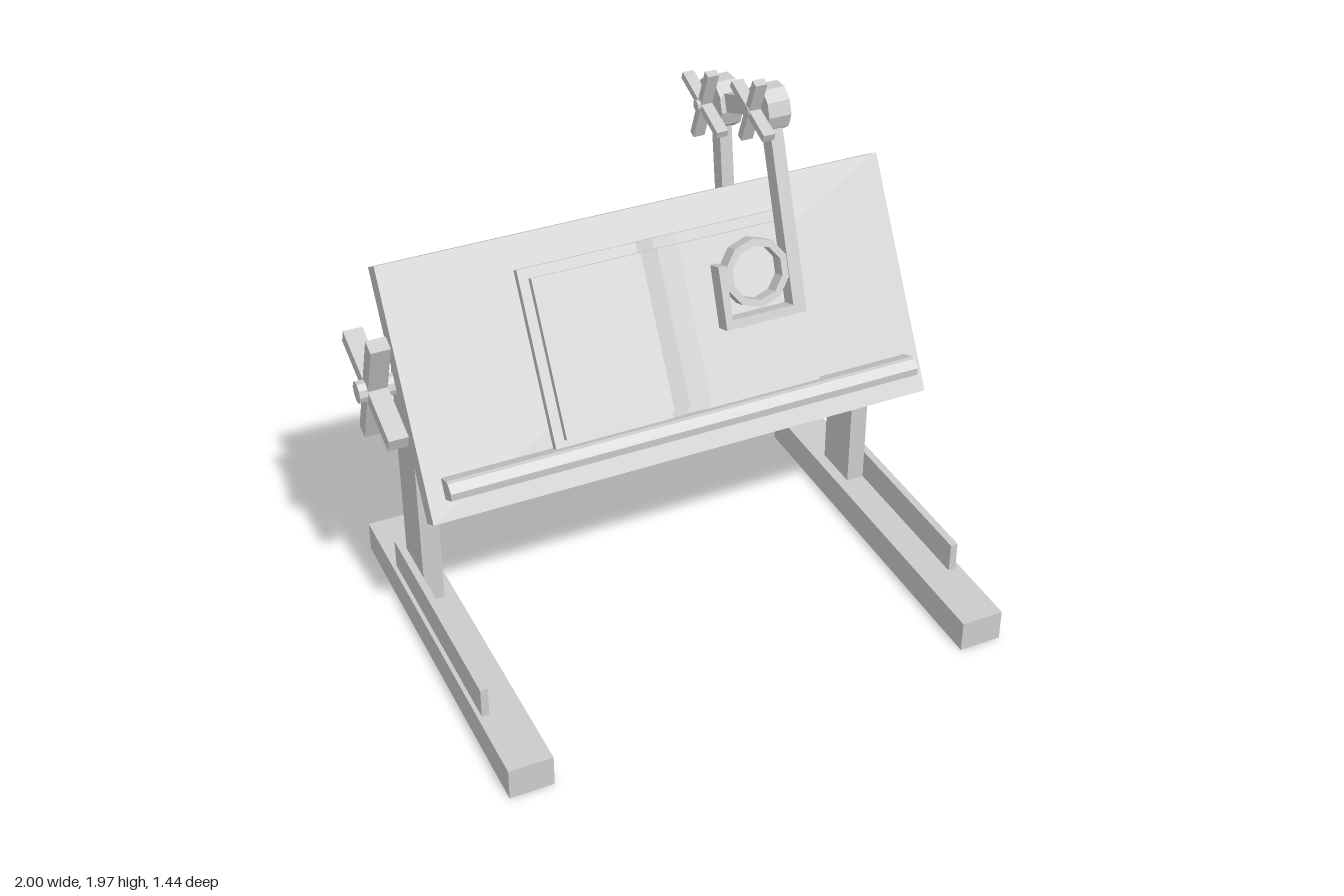
import * as THREE from 'three';

const mat = new THREE.MeshStandardMaterial({ color: 0xcccccc, flatShading: true });

function add(parent, name, geo, x = 0, y = 0, z = 0) {
  const m = new THREE.Mesh(geo, mat);
  m.name = name;
  m.position.set(x, y, z);
  parent.add(m);
  return m;
}

// box given by its extents on each axis
function block(parent, name, x0, x1, y0, y1, z0, z1) {
  return add(parent, name, new THREE.BoxGeometry(x1 - x0, y1 - y0, z1 - z0),
    (x0 + x1) / 2, (y0 + y1) / 2, (z0 + z1) / 2);
}

const shapeOf = pts => new THREE.Shape(pts.map(p => new THREE.Vector2(p[0], p[1])));

// (z, y) profile extruded from x0 to x1
function prismX(parent, name, pts, x0, x1) {
  const geo = new THREE.ExtrudeGeometry(shapeOf(pts), { depth: x1 - x0, bevelEnabled: false });
  geo.translate(0, 0, -(x1 - x0) / 2).rotateY(-Math.PI / 2);
  return add(parent, name, geo, (x0 + x1) / 2);
}

// (x, z) profile extruded from y0 to y1
function prismY(parent, name, pts, y0, y1) {
  const geo = new THREE.ExtrudeGeometry(shapeOf(pts.map(p => [p[0], -p[1]])),
    { depth: y1 - y0, bevelEnabled: false });
  geo.rotateX(-Math.PI / 2);
  return add(parent, name, geo, 0, y0);
}

// faceted cylinder lying along x
function hub(parent, name, r, x0, x1, y, z, sides = 10) {
  const geo = new THREE.CylinderGeometry(r, r, x1 - x0, sides);
  geo.rotateZ(Math.PI / 2);
  return add(parent, name, geo, (x0 + x1) / 2, y, z);
}

// four-armed hand knob
function knob(parent, name, r, width, x0, x1, y, z) {
  const g = new THREE.Group();
  g.name = name;
  g.position.set(0, y, z);
  g.rotation.x = 0.37;
  block(g, 'knobArm', x0, x1, -r, r, -width / 2, width / 2);
  block(g, 'knobCrossArm', x0, x1, -width / 2, width / 2, -r, r);
  parent.add(g);
}

// bar between two [z, y] points
function bar(parent, name, a, b, width, x0, x1) {
  const dz = b[0] - a[0], dy = b[1] - a[1];
  const m = add(parent, name, new THREE.BoxGeometry(x1 - x0, Math.hypot(dz, dy), width),
    (x0 + x1) / 2, (a[1] + b[1]) / 2, (a[0] + b[0]) / 2);
  m.rotation.x = Math.atan2(dz, dy);
}

export function createModel() {
  const model = new THREE.Group();
  model.name = 'readingStand';
  const pivotY = 1.02, pivotZ = -0.29;

  // feet, side rails and round-topped posts
  const post = [[pivotZ - 0.092, 0.12], [pivotZ + 0.092, 0.12]];
  for (let i = 0; i <= 6; i++) {
    const a = i * Math.PI / 6;
    post.push([pivotZ + 0.092 * Math.cos(a), 1 + 0.092 * Math.sin(a)]);
  }
  block(model, 'rightFoot', -0.89, -0.73, 0, 0.12, -0.72, 0.72);
  block(model, 'leftFoot', 0.84, 1, 0, 0.12, -0.72, 0.72);
  block(model, 'rightRail', -0.875, -0.848, 0.12, 0.235, -0.44, 0.44);
  block(model, 'leftRail', 0.95, 0.978, 0.12, 0.235, -0.44, 0.44);
  prismX(model, 'rightPost', post, -0.848, -0.775);
  prismX(model, 'leftPost', post, 0.882, 0.95);

  // pivots and the tilt knob
  hub(model, 'leftPivot', 0.063, 0.86, 0.97, pivotY, pivotZ);
  hub(model, 'rightPivot', 0.04, -1, -0.76, pivotY, pivotZ);
  knob(model, 'tiltKnob', 0.24, 0.055, -0.97, -0.9, pivotY, pivotZ);

  // tilted desk; local y runs up the board, local z out of its front face
  const desk = new THREE.Group();
  desk.name = 'desk';
  desk.position.set(0, 1.0825, -0.11);
  desk.rotation.x = -Math.PI / 6;
  model.add(desk);
  block(desk, 'board', -0.89, 0.998, -0.44, 0.44, -0.08, 0);
  prismX(desk, 'beam', [[-0.08, -0.23], [-0.08, 0.245], [-0.268, 0.245], [-0.3, 0.21],
    [-0.3, -0.195], [-0.268, -0.23]], -0.77, 0.875);
  prismX(desk, 'ledge', [[0, -0.367], [0.07, -0.367], [0.085, -0.343], [0.07, -0.309],
    [0.058, -0.3], [0, -0.292]], -0.83, 0.945);

  // open book: a sheet of given thickness with a shallow fold at the spine
  const sheet = (name, x0, x1, z, t, y0, y1) => {
    const front = [[x0, z], [0.0, z], [0.07, z - 0.025], [0.14, z], [x1, z]];
    prismY(desk, name, [...front, ...front.map(p => [p[0], p[1] + t]).reverse()], y0, y1);
  };
  sheet('bookCover', -0.435, 0.57, 0.026, 0.032, -0.292, 0.325);
  sheet('bookPages', -0.4, 0.525, 0.058, 0.028, -0.268, 0.288);

  // jointed arm
  const rear = [-0.503, 1.705], top = [-0.143, 1.845], end = [0.1, 1.18];
  bar(model, 'rearArm', [-0.42, 1.09], rear, 0.062, 0.433, 0.48);
  bar(model, 'linkArm', rear, top, 0.065, 0.433, 0.48);
  bar(model, 'frontArm', top, end, 0.065, 0.433, 0.48);
  for (const [p, r, arm, out] of [[rear, 0.095, 0.15, 0.01], [top, 0.082, 0.13, 0]]) {
    hub(model, 'joint', r, 0.415, 0.497, p[1], p[0]);
    hub(model, 'jointPin', 0.02, 0.37 - out, 0.505 + out, p[1], p[0]);
    knob(model, 'jointKnob', arm, 0.028, 0.373, 0.416, p[1], p[0]);
  }

  // magnifier: L-shaped bracket holding a ten-sided ring
  const head = new THREE.Group();
  head.name = 'magnifier';
  head.position.set(0, end[1], end[0]);
  head.rotation.x = Math.atan2(top[0] - end[0], top[1] - end[1]);
  model.add(head);
  block(head, 'bracketBase', 0.178, 0.48, 0, 0.032, -0.0325, 0.0325);
  block(head, 'bracketSide', 0.178, 0.205, 0, 0.22, -0.0325, 0.0325);
  const ring = new THREE.LatheGeometry([[0.094, -0.028], [0.12, -0.028], [0.12, 0.028],
    [0.094, 0.028], [0.094, -0.028]].map(p => new THREE.Vector2(p[0], p[1])), 10);
  ring.rotateX(Math.PI / 2);
  add(head, 'lensRing', ring, 0.32, 0.17, 0);

  return model;
}
